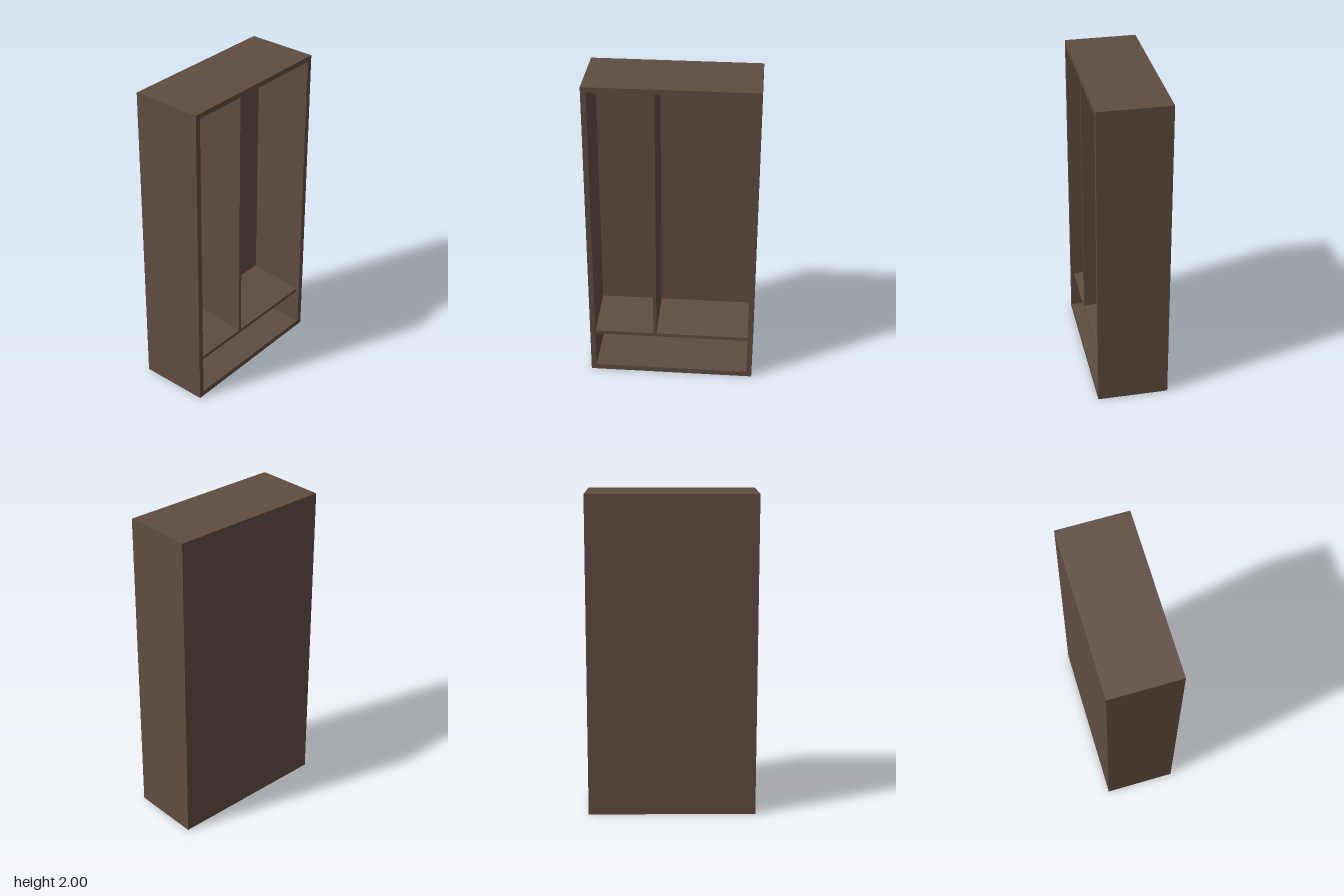
import * as THREE from 'three';

export function createModel() {
  const model = new THREE.Group();
  const wood = new THREE.MeshStandardMaterial({ color: 0x604c41 });
  wood.name = 'dark brown wood';

  const W = 0.523, H = 2, FRONT = 0.223, BACK = -0.223;
  const INNER = 0.49, FLOOR = 0.035, CEILING = 1.968, INNER_BACK = -0.152;

  const add = (name, geometry, x = 0, y = 0, z = 0) => {
    const mesh = new THREE.Mesh(geometry, wood);
    mesh.name = name;
    mesh.position.set(x, y, z);
    model.add(mesh);
    return mesh;
  };
  const points = (list) => list.map(([a, b]) => new THREE.Vector2(a, b));
  const rect = (x, y0, y1) => points([[-x, y0], [x, y0], [x, y1], [-x, y1]]);

  // Side profile given as [z, y], extruded along x from x0 to x1
  const sidePanel = (name, profile, x0, x1) => {
    const shape = new THREE.Shape(points(profile.map(([z, y]) => [-z, y])));
    const geometry = new THREE.ExtrudeGeometry(shape, { depth: x1 - x0, bevelEnabled: false });
    geometry.rotateY(Math.PI / 2);
    return add(name, geometry, x0);
  };

  // Outer frame: sides, top and base in one piece
  const frame = new THREE.Shape(rect(W, 0, H));
  frame.holes.push(new THREE.Path(rect(INNER, FLOOR, CEILING)));
  add('frame', new THREE.ExtrudeGeometry(frame, { depth: FRONT - INNER_BACK, bevelEnabled: false }), 0, 0, INNER_BACK);

  // Thick back
  add('backPanel', new THREE.BoxGeometry(2 * W, H, INNER_BACK - BACK), 0, H / 2, (INNER_BACK + BACK) / 2);

  // Shelf rising gently towards the back
  const edge = FRONT - 0.022, low = 0.288, high = 0.325, thick = 0.023;
  sidePanel('slopedShelf', [
    [edge, low - thick], [INNER_BACK, high - thick], [INNER_BACK, high], [edge, low],
  ], -INNER, INNER);

  // Upright divider, its foot cut to the slope of the shelf
  sidePanel('divider', [
    [edge, low], [INNER_BACK, high], [INNER_BACK, CEILING], [edge, CEILING],
  ], -0.116, -0.096);

  // Hanging rods, one in each compartment
  for (const [name, x0, x1] of [['rightRod', -INNER, -0.116], ['leftRod', -0.096, INNER]]) {
    const rod = new THREE.CylinderGeometry(0.012, 0.012, x1 - x0, 16);
    rod.rotateZ(Math.PI / 2);
    add(name, rod, (x0 + x1) / 2, 1.873, -0.02);
  }

  return model;
}
